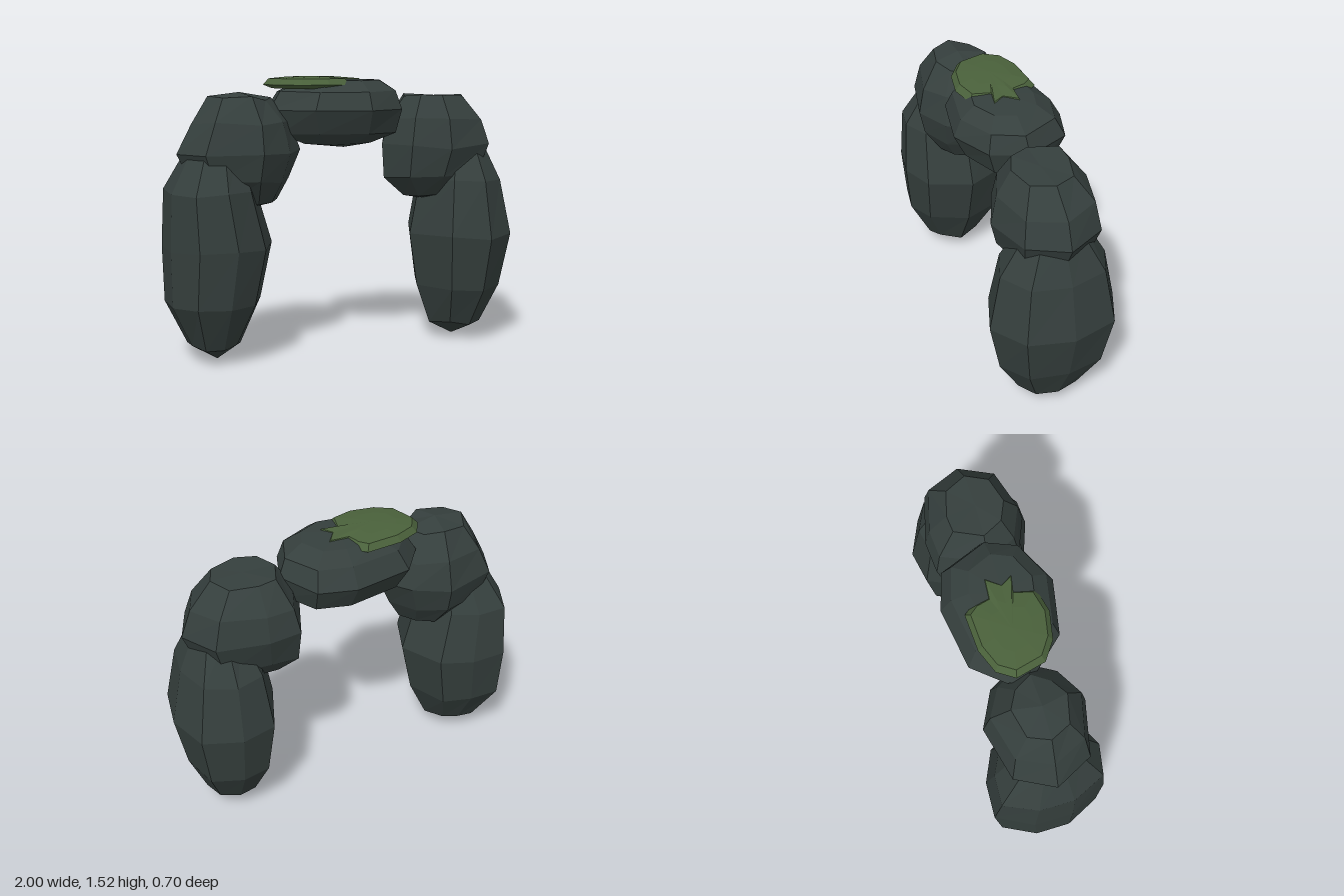
import * as THREE from 'three';

const stone = new THREE.MeshStandardMaterial({ color: 0x353f3d, flatShading: true });
stone.name = 'dark stone';
const moss = new THREE.MeshStandardMaterial({ color: 0x4a613b, flatShading: true });
moss.name = 'moss green';

// Small seeded generator for the uneven rock faces
let seed = 7;
const rand = () => {
  seed = (seed * 16807) % 2147483647;
  return seed / 2147483647 - 0.5;
};

// Closed skin over stacked rings of points; the first and last ring are single tips
function skin(name, rings, material) {
  const pos = [];
  const tri = (...pts) => pts.forEach((p) => pos.push(p.x, p.y, p.z));
  for (let r = 0; r < rings.length - 1; r++) {
    const low = rings[r], high = rings[r + 1];
    const n = Math.max(low.length, high.length);
    for (let i = 0; i < n; i++) {
      const j = (i + 1) % n;
      if (low.length === 1) tri(low[0], high[i], high[j]);
      else if (high.length === 1) tri(low[i], high[0], low[j]);
      else {
        tri(low[i], high[i], low[j]);
        tri(low[j], high[i], high[j]);
      }
    }
  }
  const geometry = new THREE.BufferGeometry();
  geometry.setAttribute('position', new THREE.Float32BufferAttribute(pos, 3));
  geometry.computeVertexNormals();
  const mesh = new THREE.Mesh(geometry, material);
  mesh.name = name;
  return mesh;
}

// Boulder: plan is its outline in a unit square, tips are [x, y, z],
// sections are [y, xMin, xMax, zMin, zMax]
function boulder(name, plan, bottom, sections, top, rough = 0.025) {
  const rings = sections.map(([y, x0, x1, z0, z1]) =>
    plan.map(([u, v]) => new THREE.Vector3(
      (x0 + x1) / 2 + ((x1 - x0) / 2) * u,
      y + rand() * rough,
      (z0 + z1) / 2 + ((z1 - z0) / 2) * v
    ))
  );
  return skin(name, [[new THREE.Vector3(...bottom)], ...rings, [new THREE.Vector3(...top)]], stone);
}

export function createModel() {
  const arch = new THREE.Group();
  arch.name = 'rockArch';

  // Standing pillars
  arch.add(boulder('rightPillar', [
    [1, 0], [0.62, 0.73], [0.03, 0.98], [-0.65, 0.88], [-1, 0.25],
    [-1, -0.4], [-0.65, -1], [0.03, -0.97], [0.62, -0.73],
  ], [-0.74, 0, 0], [
    [0.09, -0.89, -0.61, -0.16, 0.17],
    [0.32, -0.995, -0.49, -0.3, 0.29],
    [0.62, -1, -0.42, -0.34, 0.32],
    [0.92, -0.99, -0.51, -0.3, 0.29],
    [1.14, -0.87, -0.59, -0.16, 0.16],
  ], [-0.72, 1.23, 0]));
  arch.add(boulder('leftPillar', [
    [1, -0.05], [0.8, 0.64], [0.15, 1], [-0.55, 0.79],
    [-1, 0], [-0.53, -0.9], [0.12, -1], [0.8, -0.75],
  ], [0.69, 0.01, -0.01], [
    [0.1, 0.54, 0.84, -0.17, 0.17],
    [0.32, 0.46, 0.94, -0.3, 0.29],
    [0.62, 0.41, 1, -0.35, 0.35],
    [0.93, 0.47, 0.935, -0.29, 0.29],
    [1.15, 0.58, 0.84, -0.16, 0.16],
  ], [0.71, 1.24, 0]));

  // Shoulder stones resting on the pillars
  arch.add(boulder('rightShoulder', [
    [1, 0], [0.66, 0.65], [0.15, 1], [-0.7, 0.75],
    [-1, 0], [-0.7, -0.75], [0.15, -1], [0.7, -0.65],
  ], [-0.53, 0.82, 0], [
    [0.86, -0.74, -0.39, -0.15, 0.14],
    [0.97, -0.87, -0.32, -0.25, 0.23],
    [1.13, -0.94, -0.25, -0.29, 0.26],
    [1.28, -0.86, -0.31, -0.25, 0.23],
    [1.41, -0.77, -0.42, -0.15, 0.14],
  ], [-0.6, 1.44, 0]));
  arch.add(boulder('leftShoulder', [
    [1, 0], [0.7, 0.75], [-0.1, 1], [-0.7, 0.7],
    [-1, 0], [-0.64, -0.95], [-0.1, -1], [0.7, -0.75],
  ], [0.5, 0.82, 0], [
    [0.85, 0.37, 0.7, -0.14, 0.13],
    [0.96, 0.25, 0.84, -0.24, 0.22],
    [1.13, 0.24, 0.91, -0.29, 0.26],
    [1.28, 0.28, 0.855, -0.26, 0.23],
    [1.41, 0.37, 0.73, -0.16, 0.15],
  ], [0.55, 1.41, 0]));

  // Flat capstone bridging the gap
  arch.add(boulder('capstone', [
    [1, 0], [0.8, 0.64], [0.24, 1], [-0.52, 0.8], [-1, 0.1],
    [-0.95, -0.3], [-0.6, -0.83], [0.24, -1], [0.75, -0.8],
  ], [0, 1.13, 0], [
    [1.15, -0.23, 0.17, -0.15, 0.12],
    [1.21, -0.37, 0.33, -0.26, 0.21],
    [1.34, -0.43, 0.36, -0.33, 0.27],
    [1.44, -0.37, 0.32, -0.27, 0.23],
    [1.495, -0.24, 0.22, -0.18, 0.15],
  ], [0, 1.508, -0.02], 0.01));

  // Ragged moss patch, its tongues sinking into the capstone; listed as x, z
  const outline = [
    [0.13, -0.09], [0.07, -0.01], [0.11, 0.06], [0.01, 0.04], [-0.02, 0.15], [-0.15, 0.18], [-0.3, 0.15],
    [-0.4, 0.08], [-0.44, -0.08], [-0.38, -0.17], [-0.25, -0.22], [-0.05, -0.23], [-0.01, -0.18], [0.01, -0.1],
  ];
  const layer = (y, s) => outline.map(([x, z]) =>
    new THREE.Vector3(-0.2 + (x + 0.2) * s, y, -0.03 + (z + 0.03) * s));
  arch.add(skin('mossPatch', [
    [new THREE.Vector3(-0.2, 1.45, -0.03)],
    layer(1.456, 0.8), layer(1.476, 1), layer(1.509, 0.87), layer(1.518, 0.5),
    [new THREE.Vector3(-0.2, 1.522, -0.03)],
  ], moss));

  return arch;
}
